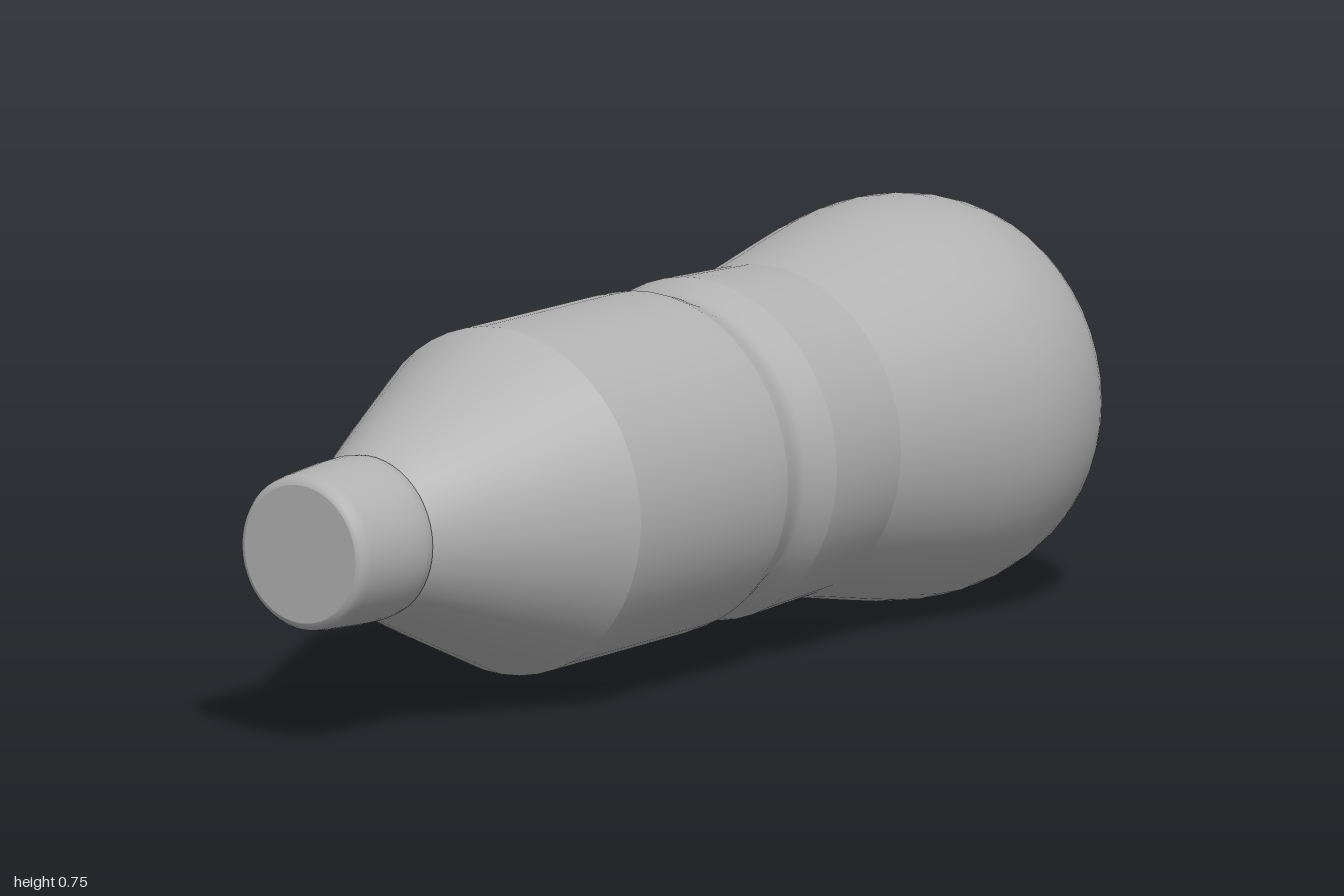
import * as THREE from 'three';

const AXIS_HEIGHT = 0.376;
const SIDES = 48;

export function createModel() {
  const bottle = new THREE.Group();
  bottle.name = 'bottle';
  const grey = new THREE.MeshStandardMaterial({ color: 0xb2b2b2 });
  grey.name = 'plain grey';

  // Revolves [z, radius] pairs, listed back to front, around the bottle's long axis
  const turn = (name, profile) => {
    const points = profile.map(([z, r]) => new THREE.Vector2(r, z));
    const geometry = new THREE.LatheGeometry(points, SIDES);
    geometry.rotateX(Math.PI / 2);
    geometry.translate(0, AXIS_HEIGHT, 0);
    const mesh = new THREE.Mesh(geometry, grey);
    mesh.name = name;
    bottle.add(mesh);
  };

  // Flat base at the back
  turn('base', [[-1, 0], [-1, 0.312]]);

  // Bulging lower body with a rounded heel
  turn('lowerBody', [
    [-1, 0.312], [-0.992, 0.325], [-0.97, 0.339], [-0.94, 0.352], [-0.9, 0.364],
    [-0.85, 0.373], [-0.8, 0.376], [-0.74, 0.373], [-0.67, 0.363], [-0.58, 0.346],
    [-0.48, 0.326], [-0.405, 0.312],
  ]);

  // Waist band
  turn('waist', [[-0.405, 0.312], [-0.3, 0.317], [-0.2, 0.322]]);

  // Shallow grip groove
  turn('groove', [
    [-0.2, 0.322], [-0.16, 0.313], [-0.125, 0.303], [-0.105, 0.303],
    [-0.08, 0.312], [-0.055, 0.32],
  ]);

  // Upper body
  turn('upperBody', [[-0.055, 0.32], [0, 0.323], [0.2, 0.325], [0.395, 0.327]]);

  // Tapering shoulder
  turn('shoulder', [[0.395, 0.327], [0.6, 0.238], [0.795, 0.15]]);

  // Cap with a softened front edge
  turn('cap', [
    [0.79, 0.145], [0.797, 0.153], [0.82, 0.156], [0.87, 0.155], [0.97, 0.148],
    [0.987, 0.145], [0.996, 0.139], [1, 0.13],
  ]);
  turn('capTop', [[1, 0.13], [1, 0]]);

  return bottle;
}
